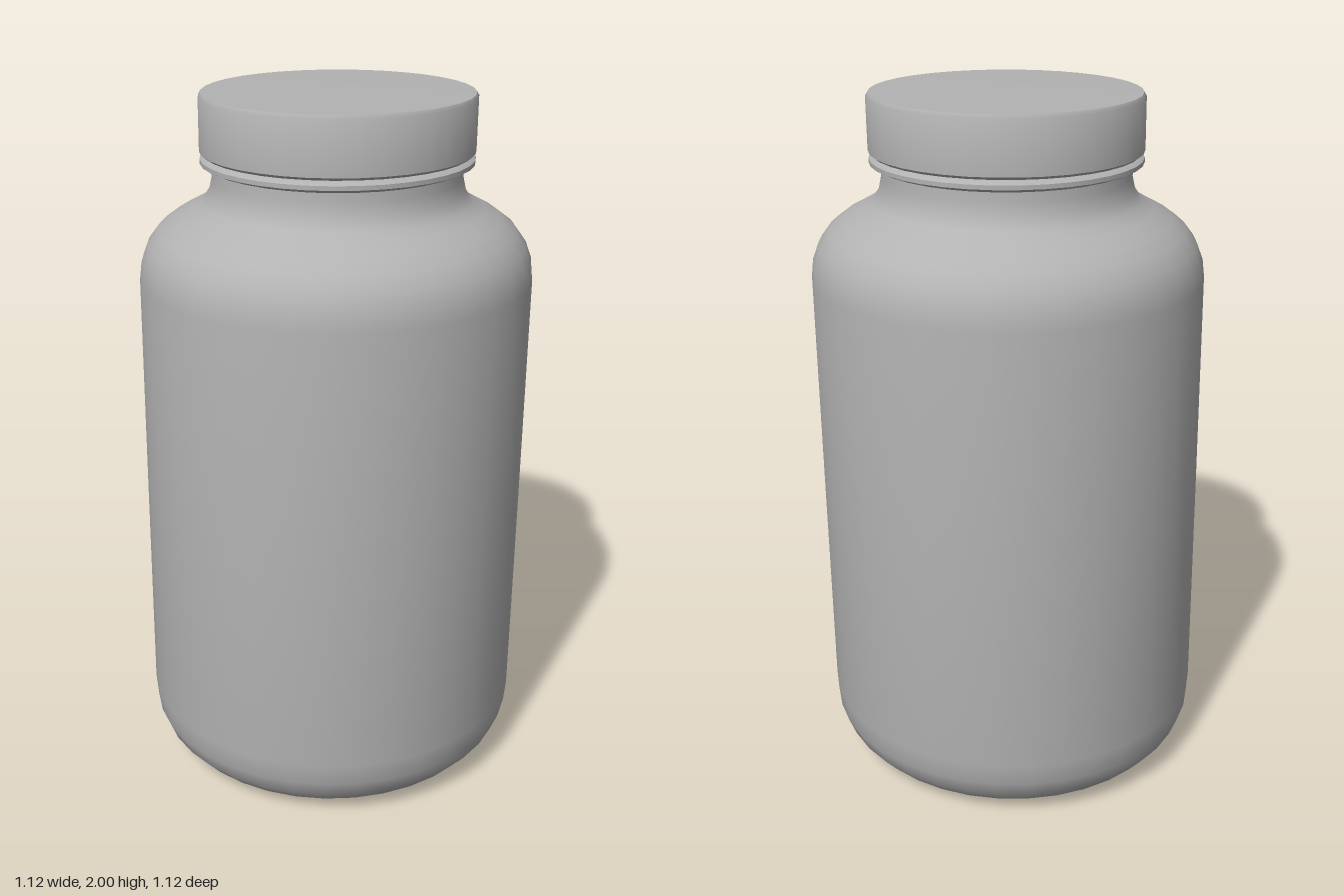
import * as THREE from 'three';
import { toCreasedNormals } from 'three/addons/utils/BufferGeometryUtils.js';

const SIDES = 36;

export function createModel() {
  const model = new THREE.Group();
  model.name = 'screwTopJar';
  const grey = new THREE.MeshStandardMaterial({ color: 0xb2b2b2 });
  grey.name = 'plainGrey';

  // Turns a bottom-to-top [radius, height] profile, with the jar's slight lean
  function turned(name, profile, crease) {
    const points = profile.map(([r, y]) => new THREE.Vector2(r, y));
    const lathe = new THREE.LatheGeometry(points, SIDES);
    const pos = lathe.attributes.position;
    for (let i = 0; i < pos.count; i++) {
      const lean = -0.006 + 0.0075 * pos.getY(i);
      pos.setX(i, pos.getX(i) + lean);
      pos.setZ(i, pos.getZ(i) - lean);
    }
    const mesh = new THREE.Mesh(toCreasedNormals(lathe, crease), grey);
    mesh.name = name;
    model.add(mesh);
  }

  // Body with a hollowed base, rounded heel, straight wall, shoulder and neck
  turned('body', [
    [0, 0.035], [0.25, 0.035], [0.3, 0.018], [0.35, 0.004], [0.4, 0.006],
    [0.45, 0.02], [0.495, 0.045], [0.53, 0.085], [0.55, 0.135], [0.556, 0.2],
    [0.555, 0.8], [0.553, 1.49], [0.547, 1.54], [0.53, 1.585], [0.5, 1.625],
    [0.46, 1.655], [0.41, 1.682], [0.375, 1.702], [0.356, 1.73],
    [0.347, 1.77], [0.347, 1.83],
  ], 0.75);

  // Thin tamper ring below the cap
  turned('sealRing', [
    [0.34, 1.795], [0.362, 1.802], [0.379, 1.81], [0.379, 1.822],
    [0.368, 1.83], [0.34, 1.834],
  ], 0.9);

  // Cap with a plain side and flat top
  turned('cap', [
    [0.335, 1.832], [0.37, 1.834], [0.38, 1.842], [0.38, 1.988],
    [0.374, 1.998], [0, 2],
  ], 0.65);

  return model;
}
